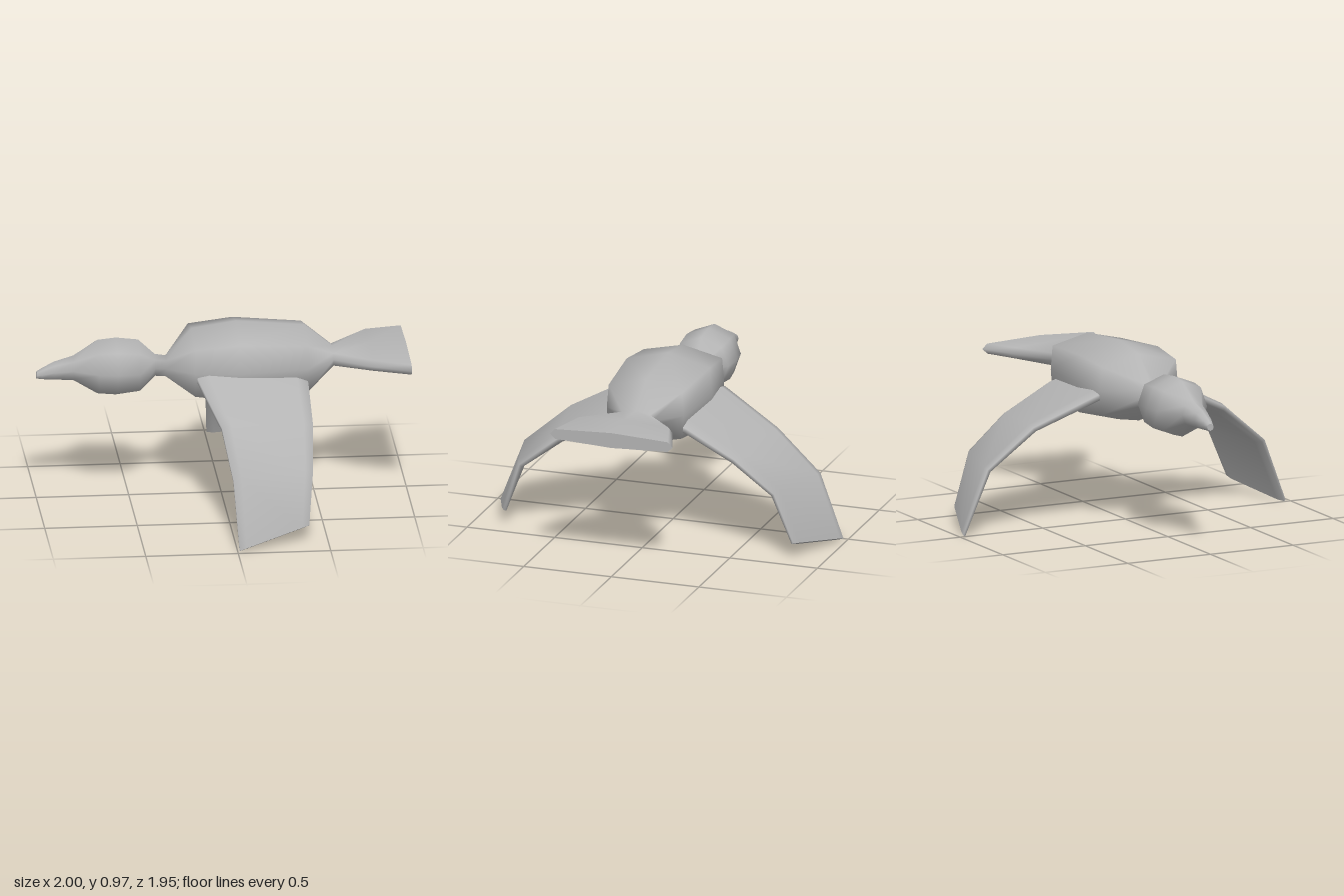
import * as THREE from 'three';

// Smooth skin through a list of rings that run counter-clockwise about the loft direction.
// Returns vertex data plus one index list per gap between rings, with flat end caps.
function loft(rings) {
  const n = rings[0].length, last = rings.length - 1;
  const all = [...rings, rings[0], rings[last]];
  const geometry = new THREE.BufferGeometry();
  geometry.setAttribute('position', new THREE.Float32BufferAttribute(all.flat(2), 3));
  const bands = [];
  for (let i = 0; i < last; i++) {
    const band = [];
    for (let j = 0; j < n; j++) {
      const k = (j + 1) % n;
      const a = i * n + j, b = i * n + k, c = b + n, d = a + n;
      band.push(a, b, d, b, c, d);
    }
    bands.push(band);
  }
  const startCap = (last + 1) * n, endCap = startCap + n;
  for (let j = 1; j < n - 1; j++) {
    bands[0].push(startCap, startCap + j + 1, startCap + j);
    bands[last - 1].push(endCap, endCap + j, endCap + j + 1);
  }
  geometry.setIndex(bands.flat());
  geometry.computeVertexNormals();
  return { geometry, bands };
}

export function createModel() {
  const bird = new THREE.Group();
  bird.name = 'bird';
  const grey = new THREE.MeshStandardMaterial({ color: 0xb4b4b4 });
  grey.name = 'grey';

  const add = (name, geometry) => {
    const mesh = new THREE.Mesh(geometry, grey);
    mesh.name = name;
    bird.add(mesh);
  };

  // Stations from beak to tail: x, bottom, top, half width, shoulder width and height factors
  const stations = [
    [-1.0, 0.695, 0.735, 0.02, 0.75, 0.7],
    [-0.97, 0.69, 0.755, 0.03, 0.75, 0.7],
    [-0.9, 0.685, 0.79, 0.045, 0.75, 0.7],
    [-0.8, 0.68, 0.82, 0.067, 0.75, 0.7],
    [-0.67, 0.6, 0.905, 0.15, 0.75, 0.7],
    [-0.57, 0.59, 0.915, 0.165, 0.75, 0.7],
    [-0.45, 0.605, 0.9, 0.157, 0.75, 0.7],
    [-0.36, 0.69, 0.815, 0.065, 0.75, 0.7],
    [-0.3, 0.685, 0.805, 0.055, 0.75, 0.7],
    [-0.16, 0.59, 0.955, 0.235, 0.95, 0.72],
    [0.08, 0.55, 0.99, 0.25, 0.95, 0.72],
    [0.45, 0.595, 0.955, 0.22, 0.95, 0.72],
    [0.6, 0.73, 0.83, 0.09, 0.9, 0.7],
    [0.8, 0.755, 0.845, 0.28, 0.92, 0.65],
    [1.0, 0.75, 0.835, 0.35, 0.92, 0.65],
  ];
  const rings = stations.map(([x, bottom, top, w, sw, sh]) => {
    const mid = (top + bottom) / 2, h = (top - bottom) / 2;
    return [[1, 0], [sh, sw], [0, 1], [-sh, sw], [-1, 0], [-sh, -sw], [0, -1], [sh, -sw]]
      .map(([v, u]) => [x, mid + v * h, u * w]);
  });

  // Beak, head, torso and tail share one smooth skin
  const { geometry: skin, bands } = loft(rings);
  const parts = { beak: [0, 3], head: [3, 8], torso: [8, 12], tail: [12, 14] };
  for (const [name, [from, to]] of Object.entries(parts)) {
    const part = skin.clone();
    part.setIndex(bands.slice(from, to).flat());
    add(name, part);
  }

  // Wing stations: leading edge, trailing edge, half thickness, lean of the upper side
  const wingStations = [
    [[-0.13, 0.755, 0.14], [0.44, 0.72, 0.13], 0.035, 0.35],
    [[-0.15, 0.735, 0.24], [0.45, 0.69, 0.23], 0.035, 0.4],
    [[-0.05, 0.575, 0.575], [0.45, 0.55, 0.5], 0.028, 0.6],
    [[-0.01, 0.365, 0.83], [0.43, 0.375, 0.72], 0.022, 0.95],
    [[0.01, 0.018, 0.97], [0.4, 0.1, 0.822], 0.014, 1.15],
  ];
  // Chord position and thickness around the wing section
  const section = [[0, 0.45], [0, -0.45], [0.1, -1], [0.9, -1], [1, -0.4], [1, 0.4], [0.9, 1], [0.1, 1]];
  const wing = (side) => loft(wingStations.map(([lead, trail, t, lean]) => {
    const ring = section.map(([u, v]) => [
      lead[0] + (trail[0] - lead[0]) * u,
      lead[1] + (trail[1] - lead[1]) * u + Math.cos(lean) * t * v,
      side * (lead[2] + (trail[2] - lead[2]) * u + Math.sin(lean) * t * v),
    ]);
    return side > 0 ? ring : ring.reverse();
  })).geometry;
  add('nearWing', wing(1));
  add('farWing', wing(-1));

  return bird;
}
